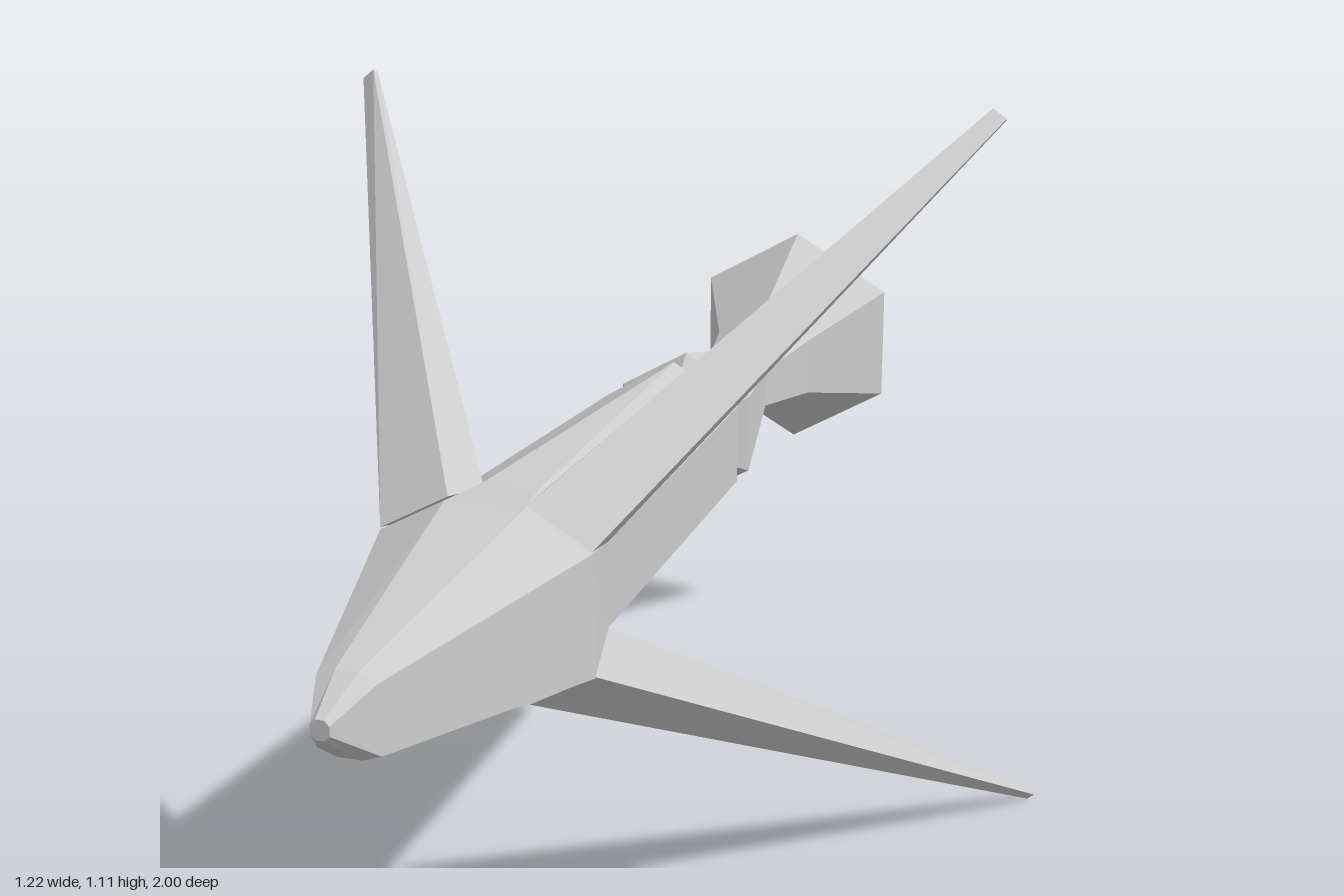
import * as THREE from 'three';

const CY = 0.543; // height of the long axis

// Skin a list of rings (arrays of [x, y, z]); optionally cap the first and last.
function loft(name, rings, material, capStart = true, capEnd = true) {
  const tris = [];
  for (let i = 0; i < rings.length - 1; i++) {
    const a = rings[i], b = rings[i + 1], n = a.length;
    for (let j = 0; j < n; j++) {
      const k = (j + 1) % n;
      tris.push([a[j], b[j], a[k]], [a[k], b[j], b[k]]);
    }
  }
  const cap = (r, flip) => {
    for (let j = 1; j < r.length - 1; j++) {
      tris.push(flip ? [r[0], r[j + 1], r[j]] : [r[0], r[j], r[j + 1]]);
    }
  };
  if (capStart) cap(rings[0], false);
  if (capEnd) cap(rings[rings.length - 1], true);

  // Turn the faces outward, whichever way round the rings run
  const o = new THREE.Vector3(...rings[0][0]);
  let volume = 0;
  for (const t of tris) {
    const [p, q, r] = t.map((c) => new THREE.Vector3(...c).sub(o));
    volume += p.dot(q.cross(r));
  }
  if (volume < 0) tris.forEach((t) => t.reverse());

  const geometry = new THREE.BufferGeometry();
  geometry.setAttribute('position', new THREE.Float32BufferAttribute(tris.flat(2), 3));
  geometry.computeVertexNormals();
  const mesh = new THREE.Mesh(geometry, material);
  mesh.name = name;
  return mesh;
}

// Eight-sided hull section: top edge, two flat sides, bottom edge
const section = (z, topX, topY, upX, upY, lowX, lowY, botX, botY) => [
  [topX, topY, z], [-topX, topY, z], [-upX, upY, z], [-lowX, lowY, z],
  [-botX, botY, z], [botX, botY, z], [lowX, lowY, z], [upX, upY, z],
];

// Six-sided section with a corner at the top, kept at eight points to match the hull
const hex = (z, r) => {
  const x = r * Math.cos(Math.PI / 6);
  return section(z, 0, CY + r, x, CY + r / 2, x, CY - r / 2, 0, CY - r);
};

export function createModel() {
  const model = new THREE.Group();
  const grey = new THREE.MeshStandardMaterial({ color: 0xcccccc, flatShading: true });
  const thin = new THREE.MeshStandardMaterial({
    color: 0xcccccc, flatShading: true, side: THREE.DoubleSide,
  });

  // Pointed nose widening to the arm roots
  const shoulder = section(0.48, 0.058, 0.67, 0.155, 0.617, 0.16, 0.44, 0.07, 0.397);
  const hullFront = section(0.385, 0.042, 0.668, 0.145, 0.605, 0.145, 0.48, 0.042, 0.418);
  model.add(loft('nose', [
    section(1, 0.006, 0.557, 0.013, 0.55, 0.013, 0.537, 0.006, 0.53),
    section(0.92, 0.016, 0.592, 0.042, 0.58, 0.044, 0.484, 0.018, 0.475),
    shoulder,
    hullFront,
  ], grey));

  // Fuselage tapering from eight sides to six, with a bevelled end and a neck
  model.add(loft('fuselage', [
    hullFront, hex(-0.31, 0.125), hex(-0.325, 0.113), hex(-0.325, 0.09),
  ], grey));
  model.add(loft('neck', [hex(-0.32, 0.092), hex(-0.345, 0.092)], grey));

  // Waisted tail section flaring to a hollow nozzle
  model.add(loft('tailSection', [
    hex(-0.337, 0.092), hex(-0.372, 0.125), hex(-0.64, 0.062),
  ], grey));
  model.add(loft('nozzle', [
    hex(-0.64, 0.062), hex(-0.8, 0.095), hex(-1, 0.189),
  ], thin, true, false));

  // Swept arms: root and tip corners, mirrored left and right
  const arms = {
    upperArm: [
      [[0.058, 0.672, 0.47], [0.155, 0.62, 0.48], [0.145, 0.605, 0.39], [0.042, 0.66, 0.38]],
      [[0.505, 1.111, -0.29], [0.525, 1.095, -0.295], [0.522, 1.09, -0.305], [0.503, 1.106, -0.302]],
    ],
    lowerArm: [
      [[0.07, 0.395, 0.495], [0.16, 0.442, 0.48], [0.145, 0.48, 0.39], [0.042, 0.42, 0.38]],
      [[0.6, 0, -0.315], [0.612, 0.01, -0.312], [0.61, 0.016, -0.322], [0.596, 0.006, -0.325]],
    ],
  };
  for (const [name, rings] of Object.entries(arms)) {
    for (const [side, s] of [['Left', 1], ['Right', -1]]) {
      const placed = rings.map((ring) => ring.map(([x, y, z]) => [s * x, y, z]));
      model.add(loft(name + side, placed, grey));
    }
  }
  return model;
}
